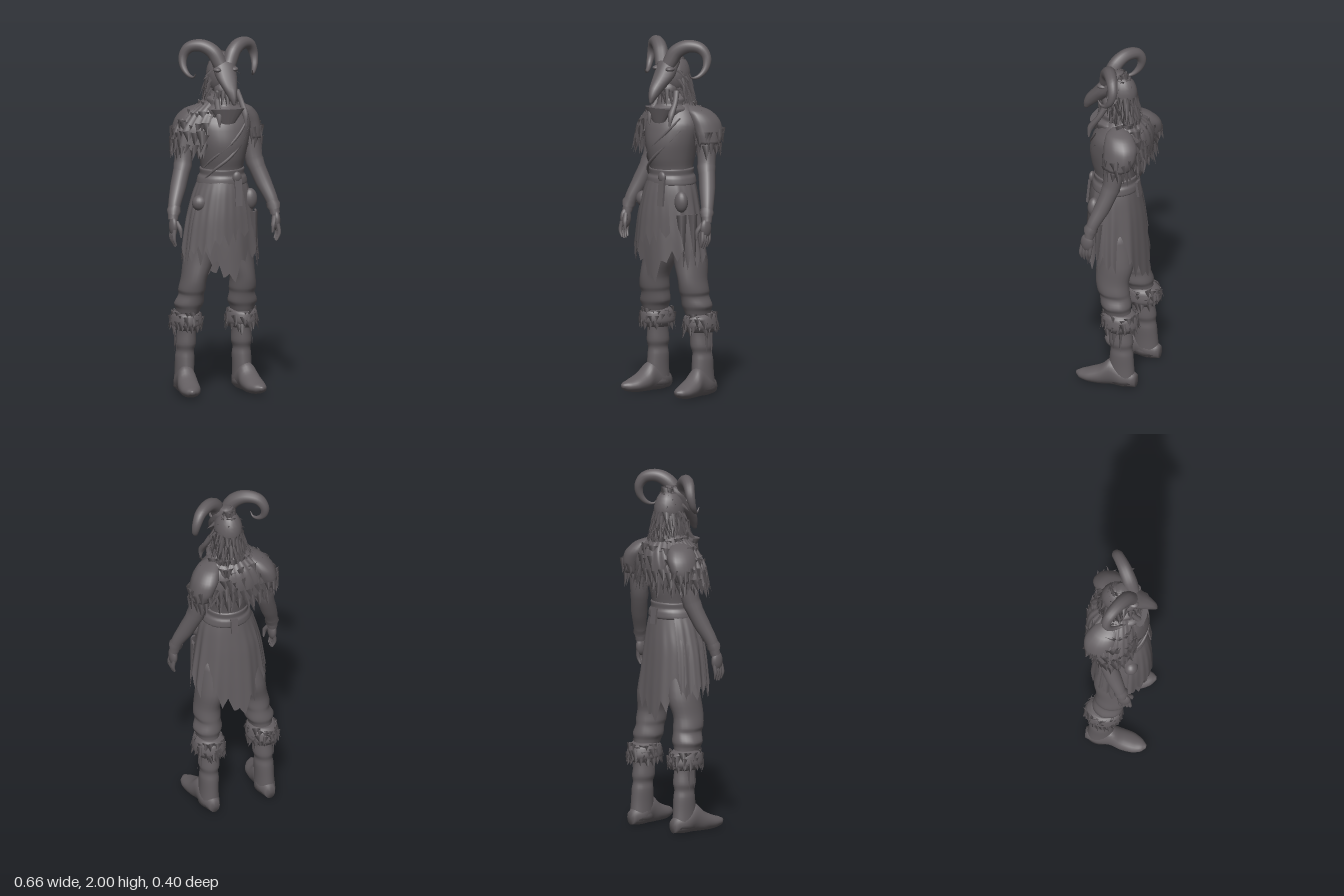
import * as THREE from 'three';
import { mergeGeometries } from 'three/addons/utils/BufferGeometryUtils.js';

const TAU = Math.PI * 2, PI = Math.PI;
const V = (x, y, z) => new THREE.Vector3(x, y, z);

export function createModel() {
  const model = new THREE.Group();
  const charcoal = new THREE.MeshStandardMaterial({ color: 0x625d60, side: THREE.DoubleSide });
  charcoal.name = 'charcoal';

  let seed = 7;
  const rnd = () => (seed = (seed * 16807) % 2147483647) / 2147483647;
  const add = (name, geo) => {
    const m = new THREE.Mesh(geo, charcoal);
    m.name = name;
    model.add(m);
  };

  // Smooth skin over rows of [x, y, z, radiusA, radiusB]: top to bottom, or back to front for axis z
  function loft(rows, { n = 24, steps = 4, axis = 'y', arc = null, cap = !arc, hem = null, fold = 0, folds = 9 } = {}) {
    const mid = new THREE.CatmullRomCurve3(rows.map(r => V(r[0], r[1], r[2])));
    const rad = new THREE.CatmullRomCurve3(rows.map(r => V(r[3], r[4], 0)));
    const S = (rows.length - 1) * steps, cols = arc ? n + 1 : n, pos = [], idx = [];
    const [t0, t1] = arc || [0, TAU];
    const drops = Array.from({ length: cols }, (_, j) => hem ? hem(t0 + (t1 - t0) * j / n, j) : 0);
    for (let i = 0; i <= S; i++) {
      const v = i / S, c = mid.getPoint(v), r = rad.getPoint(v);
      for (let j = 0; j < cols; j++) {
        const t = t0 + (t1 - t0) * j / n;
        const f = 1 + fold * v * Math.sin(t * folds + 2 * Math.sin(t * 2));
        const a = Math.cos(t) * r.x * f, b = Math.sin(t) * r.y * f;
        if (axis === 'y') pos.push(c.x + a, c.y - v * v * drops[j], c.z + b);
        else pos.push(c.x + a, Math.max(0, c.y + b), c.z);
      }
    }
    for (let i = 0; i < S; i++) for (let j = 0; j < n; j++) {
      const a = i * cols + j, b = i * cols + (j + 1) % cols;
      idx.push(a, b, a + cols, b, b + cols, a + cols);
    }
    if (cap) {
      const top = pos.length / 3, e = mid.getPoint(1), s = mid.getPoint(0);
      pos.push(s.x, s.y, s.z, e.x, e.y, e.z);
      for (let j = 0; j < n; j++) {
        const k = (j + 1) % n;
        idx.push(top, k, j, top + 1, S * cols + j, S * cols + k);
      }
    }
    const g = new THREE.BufferGeometry();
    g.setAttribute('position', new THREE.Float32BufferAttribute(pos, 3));
    g.setIndex(idx);
    g.computeVertexNormals();
    return g;
  }

  // Tube whose thickness follows a list of radii
  function taper(points, radii, seg = 24, sides = 12) {
    const curve = new THREE.CatmullRomCurve3(points.map(p => V(...p)));
    const g = new THREE.TubeGeometry(curve, seg, 1, sides);
    const p = g.attributes.position, v = V();
    for (let i = 0; i <= seg; i++) {
      const c = curve.getPointAt(i / seg), f = i / seg * (radii.length - 1);
      const k = Math.min(Math.floor(f), radii.length - 2);
      const r = THREE.MathUtils.lerp(radii[k], radii[k + 1], f - k);
      for (let j = 0; j <= sides; j++) {
        const q = i * (sides + 1) + j;
        v.fromBufferAttribute(p, q).sub(c).multiplyScalar(r).add(c);
        p.setXYZ(q, v.x, v.y, v.z);
      }
    }
    return g;
  }

  // One flat pointed lock of fur or hair
  function lock(p, dir, len, w) {
    const y = dir.clone().normalize(), x = V().crossVectors(y, V(0, 1, 0)).normalize();
    const m = new THREE.Matrix4().makeBasis(x, y, V().crossVectors(x, y)).setPosition(p);
    return new THREE.ConeGeometry(w, len, 4, 1, true).scale(1, 1, 0.22).translate(0, len * 0.4, 0).applyMatrix4(m);
  }
  // Ring of hanging locks round an ellipse
  function furRing(list, x, y, z, rx, rz, n, len, w, flare, t0 = 0, t1 = TAU) {
    for (let i = 0; i < n; i++) {
      const t = t0 + (t1 - t0) * (i + rnd() * 0.6) / n, c = Math.cos(t), s = Math.sin(t);
      list.push(lock(V(x + c * rx, y + (rnd() - 0.5) * 0.03, z + s * rz),
        V(c * flare + (rnd() - 0.5) * 0.25, -1, s * flare + (rnd() - 0.5) * 0.25), len * (0.65 + rnd() * 0.6), w));
    }
  }
  // Hem of pointed rags, each `w` columns wide and of random length
  function rags(w, depth) {
    let len = 0;
    return j => {
      if (j % w === 0) len = depth * (0.3 + 0.7 * rnd());
      return len * (1 - Math.abs((j % w) * 2 / w - 1));
    };
  }
  const ball = (x, y, z, a, b, c) => new THREE.SphereGeometry(1, 20, 14).scale(a, b, c).translate(x, y, z);

  // Head, skull mask and horns
  add('head', ball(0, 1.79, -0.02, 0.078, 0.115, 0.092));
  add('jaw', ball(0, 1.715, 0.035, 0.052, 0.05, 0.055));
  add('skullMask', loft([[0, 1.92, 0.0, 0.035, 0.03], [0, 1.87, 0.03, 0.066, 0.056], [0.003, 1.8, 0.07, 0.062, 0.062],
    [0.006, 1.735, 0.13, 0.04, 0.055], [0.009, 1.69, 0.168, 0.023, 0.034], [0.01, 1.652, 0.19, 0.006, 0.012]], { n: 12 }));
  for (const s of [1, -1]) {
    add('horn', taper([[0.025, 1.86, 0.06], [0.06, 1.93, 0.035], [0.115, 1.962, 0], [0.175, 1.95, -0.038], [0.205, 1.9, -0.055],
      [0.208, 1.84, -0.04], [0.19, 1.8, -0.005], [0.172, 1.793, 0.03], [0.166, 1.815, 0.05]].map(p => [p[0] * s, p[1], p[2]]),
      [0.04, 0.042, 0.039, 0.035, 0.031, 0.025, 0.018, 0.01, 0.002], 40));
    add('browRidge', ball(s * 0.048, 1.835, 0.075, 0.024, 0.014, 0.03));
    const x = s * 0.07 + 0.02;
    add('braid', taper([[x * 0.8, 1.71, 0.05], [x, 1.65, 0.08], [x * 1.1, 1.58, 0.125], [x * 1.1, 1.52, 0.135]],
      [0.018, 0.015, 0.019, 0.004], 16, 8));
  }
  const hair = [];
  for (let k = 0; k < 8; k++) {
    const a = k / 7, r = Math.sin(0.35 + a * 1.35);
    furRing(hair, 0, 1.9 - a * 0.22, -0.02, 0.082 * r, 0.095 * r, 8 + k * 2, 0.095, 0.026, 0.32, 0.88 * PI, 2.12 * PI);
  }
  for (const s of [1, -1]) for (let i = 0; i < 5; i++)
    hair.push(lock(V(s * 0.068, 1.82 - i * 0.025, 0.02 - (i % 2) * 0.04), V(s, -0.7 - i * 0.15, 0.1), 0.055, 0.022));
  furRing(hair, 0, 1.7, 0.05, 0.055, 0.055, 10, 0.08, 0.018, 0.2, 0, PI);
  add('hair', mergeGeometries(hair));

  // Torso, scarf and chest wrap
  add('tunic', loft([[0, 1.72, -0.02, 0.048, 0.05], [0, 1.66, -0.02, 0.07, 0.065], [0, 1.6, -0.02, 0.13, 0.105],
    [0, 1.52, -0.005, 0.165, 0.14], [0, 1.43, 0.01, 0.15, 0.145], [0, 1.34, 0.012, 0.13, 0.135], [0, 1.26, 0.01, 0.117, 0.118],
    [0, 1.17, 0.015, 0.135, 0.128]], { n: 32, fold: 0.015, folds: 5 }));
  add('scarf', loft([[0, 1.69, 0, 0.06, 0.055], [0, 1.665, 0.005, 0.09, 0.085], [0, 1.635, 0.01, 0.085, 0.09],
    [0, 1.61, 0.012, 0.11, 0.115], [0, 1.57, 0.015, 0.095, 0.11]], { n: 32, fold: 0.03 }));
  add('scarfPoint', new THREE.ConeGeometry(0.1, 0.14, 16).scale(1, -1, 0.35).translate(0, 1.55, 0.115));
  for (const dy of [0, -0.07])
    add('chestWrap', taper([[0.13, 1.57 + dy, 0.08], [0.08, 1.5 + dy, 0.124], [0, 1.42 + dy, 0.149], [-0.08, 1.35 + dy, 0.118], [-0.12, 1.29 + dy, 0.06]],
      [0.004, 0.009, 0.009, 0.004], 24, 8));

  // Fur cape over the right shoulder and the back
  const capeArc = [0.62 * PI, 1.95 * PI], capeRag = rags(4, 0.08);
  add('cape', loft([[0, 1.675, -0.02, 0.07, 0.065], [-0.005, 1.635, -0.025, 0.115, 0.095], [-0.012, 1.58, -0.035, 0.185, 0.135],
    [-0.025, 1.5, -0.035, 0.235, 0.15], [-0.035, 1.41, -0.03, 0.248, 0.147]],
    { n: 72, arc: capeArc, hem: (t, j) => capeRag(j), fold: 0.025, folds: 11 }));
  const fur = [];
  [[1.63, 0.115, 0.09], [1.585, 0.175, 0.126], [1.53, 0.215, 0.142], [1.475, 0.236, 0.147], [1.425, 0.242, 0.143]].forEach(([y, rx, rz], k) =>
    furRing(fur, -0.008 * k, y, -0.033, rx, rz, 16 + k * 3, 0.085, 0.032, 0.22, ...capeArc));
  add('capeFur', mergeGeometries(fur));

  // Arms, sleeves, cuffs and hands
  for (const s of [1, -1]) {
    const M = pts => pts.map(p => [p[0] * s, p[1], p[2]]);
    add('arm', taper(M([[0.16, 1.54, -0.07], [0.18, 1.47, -0.07], [0.195, 1.39, -0.063], [0.208, 1.3, -0.05], [0.247, 1.18, -0.012],
      [0.287, 1.07, 0.032], [0.299, 1.0, 0.048]]), [0.045, 0.056, 0.052, 0.047, 0.045, 0.036, 0.027], 30, 16));
    add('elbowWrap', taper(M([[0.2, 1.33, -0.055], [0.208, 1.295, -0.048], [0.222, 1.25, -0.035]]), [0.046, 0.052, 0.046], 10, 16));
    add('wristCuff', taper(M([[0.283, 1.07, 0.032], [0.291, 1.048, 0.04], [0.296, 1.025, 0.047]]), [0.034, 0.04, 0.03], 10, 14));
    add('palm', ball(s * 0.3, 0.965, 0.058, 0.023, 0.055, 0.038));
    for (let i = 0; i < 4; i++)
      add('finger', taper(M([[0.302, 0.95, 0.035 + i * 0.017], [0.307, 0.895, 0.04 + i * 0.018],
        [0.295, 0.85 + Math.abs(i - 1.6) * 0.008, 0.045 + i * 0.016]]), [0.012, 0.011, 0.005], 8, 8));
    add('thumb', taper(M([[0.287, 0.99, 0.073], [0.272, 0.95, 0.096], [0.267, 0.905, 0.098]]), [0.014, 0.013, 0.005], 8, 8));
    add('sleeve', loft([[s * 0.1, 1.625, -0.045, 0.02, 0.03], [s * 0.135, 1.595, -0.065, 0.058, 0.075], [s * 0.168, 1.54, -0.085, 0.07, 0.094],
      [s * 0.19, 1.48, -0.088, 0.064, 0.092], [s * 0.2, 1.42, -0.08, 0.058, 0.075]], { n: 24, fold: 0.04, folds: 6 }));
    const tatters = [];
    furRing(tatters, s * 0.193, 1.48, -0.086, 0.06, 0.086, 14, 0.07, 0.026, 0.15);
    furRing(tatters, s * 0.2, 1.42, -0.078, 0.053, 0.069, 14, 0.08, 0.024, 0.08);
    add('sleeveTatters', mergeGeometries(tatters));
  }

  // Ragged skirt in two layers, longest at the middle of the front and back
  const skirtRag = rags(6, 0.12), overRag = rags(6, 0.1);
  add('skirt', loft([[0, 1.25, 0.01, 0.115, 0.118], [0, 1.16, 0.012, 0.15, 0.135], [-0.01, 1.05, 0.01, 0.182, 0.15],
    [-0.01, 0.92, 0.007, 0.203, 0.16], [-0.008, 0.82, 0.003, 0.215, 0.165]],
    { n: 120, cap: false, fold: 0.04, folds: 10,
      hem: (t, j) => skirtRag(j) + 0.12 * Math.pow(Math.abs(Math.sin(t)), 16) + (t > PI ? 0.04 : 0) - 0.02 * Math.abs(Math.cos(t)) }));
  add('overSkirt', loft([[0, 1.24, 0.012, 0.12, 0.122], [-0.008, 1.15, 0.013, 0.158, 0.143], [-0.013, 1.04, 0.013, 0.192, 0.157], [-0.015, 0.93, 0.01, 0.214, 0.165]],
    { n: 72, arc: [0.3 * PI, 1.25 * PI], fold: 0.03, folds: 8, hem: (t, j) => 0.1 * Math.max(0, -Math.cos(t)) + overRag(j) }));

  // Narrow cloth strips hanging at the left hip
  for (const [x, z, r] of [[0.165, 0.1, 0.5], [0.195, 0.04, 1.3]])
    add('hipStrip', new THREE.ConeGeometry(0.03, 0.3, 4, 1).scale(1, -1, 0.25).rotateY(r).rotateZ(0.06).translate(x, 0.88, z));

  // Belt, hanging strap and pouches
  add('belt', loft([[0, 1.28, 0.01, 0.114, 0.116], [0, 1.27, 0.01, 0.125, 0.125], [0, 1.245, 0.01, 0.123, 0.123],
    [0, 1.225, 0.01, 0.135, 0.132], [0, 1.195, 0.01, 0.142, 0.134], [0, 1.18, 0.01, 0.132, 0.124]], { n: 32, cap: false }));
  add('beltKnot', ball(0.045, 1.235, 0.138, 0.026, 0.032, 0.016));
  add('beltStrap', new THREE.BoxGeometry(0.04, 0.15, 0.014).rotateX(-0.1).translate(0.05, 1.15, 0.15));
  add('backStrap', new THREE.BoxGeometry(0.04, 0.09, 0.014).rotateX(0.15).translate(0.01, 1.2, -0.128));
  add('pouch', ball(0.14, 1.1, 0.085, 0.04, 0.06, 0.035));
  add('pouch', ball(-0.15, 1.09, 0.075, 0.045, 0.045, 0.04));

  // Legs, fur cuffs and boots
  for (const s of [1, -1]) {
    const R = rows => rows.map(r => [r[0] * s - 0.02 * Math.min(1, (0.95 - r[1]) * 2), ...r.slice(1)]);
    add('trouserLeg', loft(R([[0.085, 0.95, -0.01, 0.085, 0.1], [0.115, 0.76, -0.03, 0.084, 0.106], [0.142, 0.65, -0.022, 0.07, 0.096],
      [0.148, 0.59, -0.03, 0.074, 0.093], [0.148, 0.56, -0.038, 0.068, 0.088], [0.156, 0.51, -0.048, 0.08, 0.088],
      [0.158, 0.48, -0.052, 0.068, 0.08], [0.16, 0.44, -0.06, 0.06, 0.075]]), { fold: 0.03, folds: 4 }));
    add('bootShaft', loft(R([[0.16, 0.44, -0.07, 0.06, 0.07], [0.16, 0.35, -0.075, 0.052, 0.066], [0.163, 0.28, -0.08, 0.057, 0.07],
      [0.165, 0.24, -0.083, 0.048, 0.062], [0.166, 0.2, -0.085, 0.053, 0.067], [0.168, 0.12, -0.085, 0.052, 0.073], [0.17, 0.03, -0.09, 0.056, 0.078]])));
    add('bootFoot', loft([[0.168, 0.045, -0.172, 0.03, 0.04], [0.17, 0.06, -0.1, 0.056, 0.063], [0.176, 0.08, -0.03, 0.054, 0.082],
      [0.183, 0.054, 0.03, 0.061, 0.058], [0.19, 0.04, 0.095, 0.058, 0.04], [0.198, 0.037, 0.145, 0.038, 0.026], [0.203, 0.04, 0.172, 0.01, 0.01]]
      .map(r => [r[0] * s - 0.02, ...r.slice(1)]), { axis: 'z' }));
    const x = s * 0.162 - 0.02, cuff = [];
    add('bootCuff', loft([[x, 0.465, -0.07, 0.062, 0.07], [x, 0.445, -0.07, 0.083, 0.098], [x, 0.395, -0.073, 0.092, 0.108], [x, 0.36, -0.075, 0.075, 0.088]]));
    for (const [y, r] of [[0.45, 0.076], [0.42, 0.084], [0.392, 0.083]]) furRing(cuff, x, y, -0.073, r, r + 0.017, 18, 0.055, 0.025, 0.22);
    add('bootCuffFur', mergeGeometries(cuff));
    for (const z of [-0.06, -0.1])
      add('bootLace', lock(V(x + s * 0.055, 0.34, z), V(s * 0.05, -1, 0.01), 0.12, 0.012));
  }
  return model;
}
